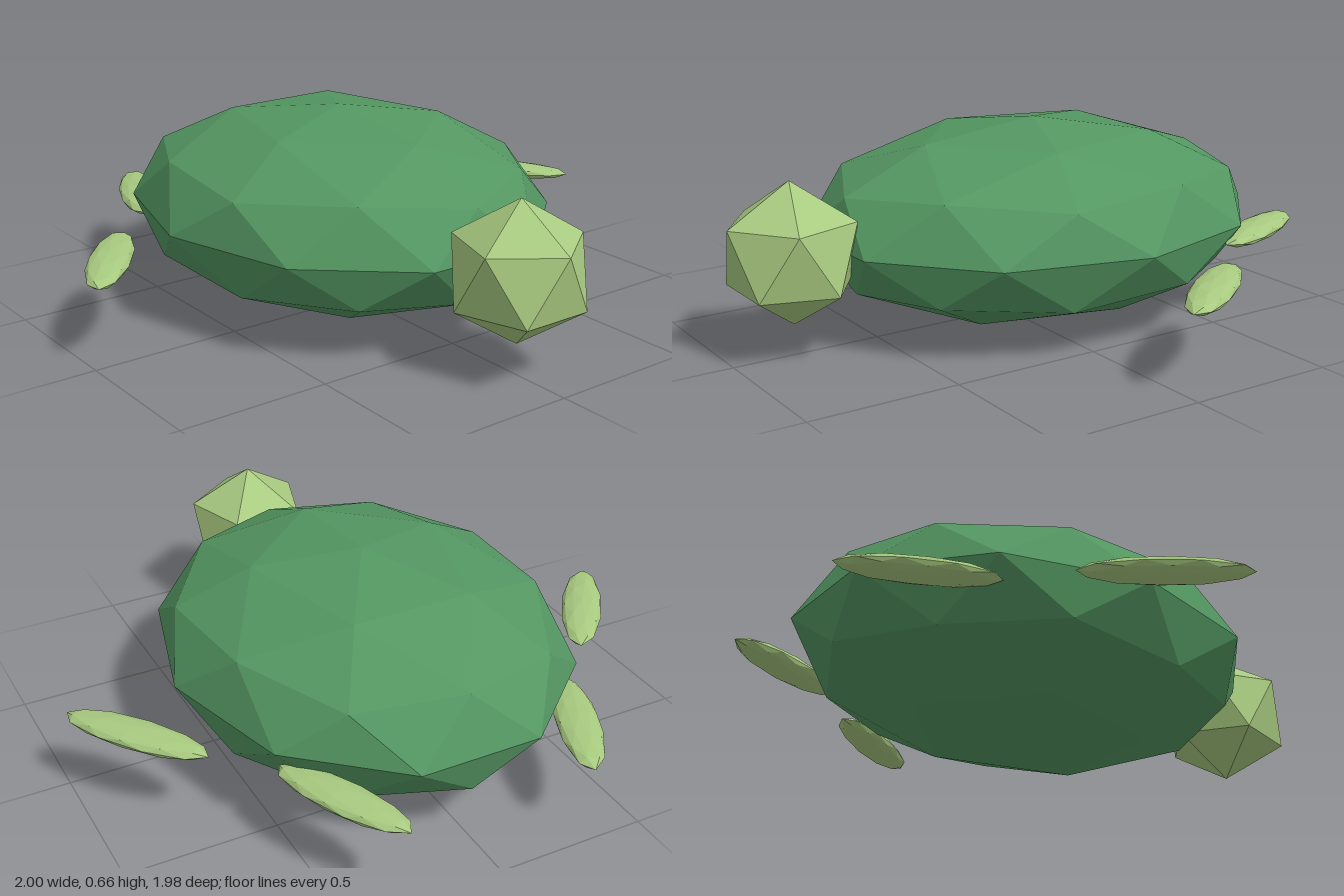
import * as THREE from 'three';

// Faceted ball with a vertex at +y and its nearest upper neighbour toward +x
function facetedBall(detail) {
  const g = new THREE.IcosahedronGeometry(1, detail);
  g.rotateX(-Math.atan2((1 + Math.sqrt(5)) / 2, 1));
  g.rotateY(Math.PI / 2);
  return g;
}

export function createModel() {
  const model = new THREE.Group();
  const shellGreen = new THREE.MeshStandardMaterial({ color: 0x549762, flatShading: true });
  shellGreen.name = 'shell green';
  const skinGreen = new THREE.MeshStandardMaterial({ color: 0xa8ca80, flatShading: true });
  skinGreen.name = 'light skin green';

  function add(name, geometry, material) {
    const mesh = new THREE.Mesh(geometry, material);
    mesh.name = name;
    model.add(mesh);
  }

  // Shell: flattened, slightly elongated ball
  add('shell', facetedBall(1).scale(0.796, 0.331, 0.662).translate(-0.108, 0.335, 0), shellGreen);

  // Head: coarse ball at the +x end
  add('head', facetedBall(0).scale(0.233, 0.231, 0.231).translate(0.791, 0.335, 0), skinGreen);

  // Flippers: thin skewed balls; "along" and "across" are half axes in x, z
  const flippers = [
    { name: 'FrontFlipper', at: [-0.2, 0.829], along: [0.193, 0.164], across: [-0.093, 0.016] },
    { name: 'RearFlipper', at: [-0.77, 0.41], along: [0.215, 0.114], across: [-0.078, 0.04] },
  ];
  for (const f of flippers) {
    for (const [side, s] of [['left', 1], ['right', -1]]) {
      const m = new THREE.Matrix4().set(
        f.along[0], 0, s * f.across[0], f.at[0],
        0, 0.03, 0, 0.267,
        s * f.along[1], 0, f.across[1], s * f.at[1],
        0, 0, 0, 1
      );
      add(side + f.name, facetedBall(1).applyMatrix4(m), skinGreen);
    }
  }
  return model;
}
